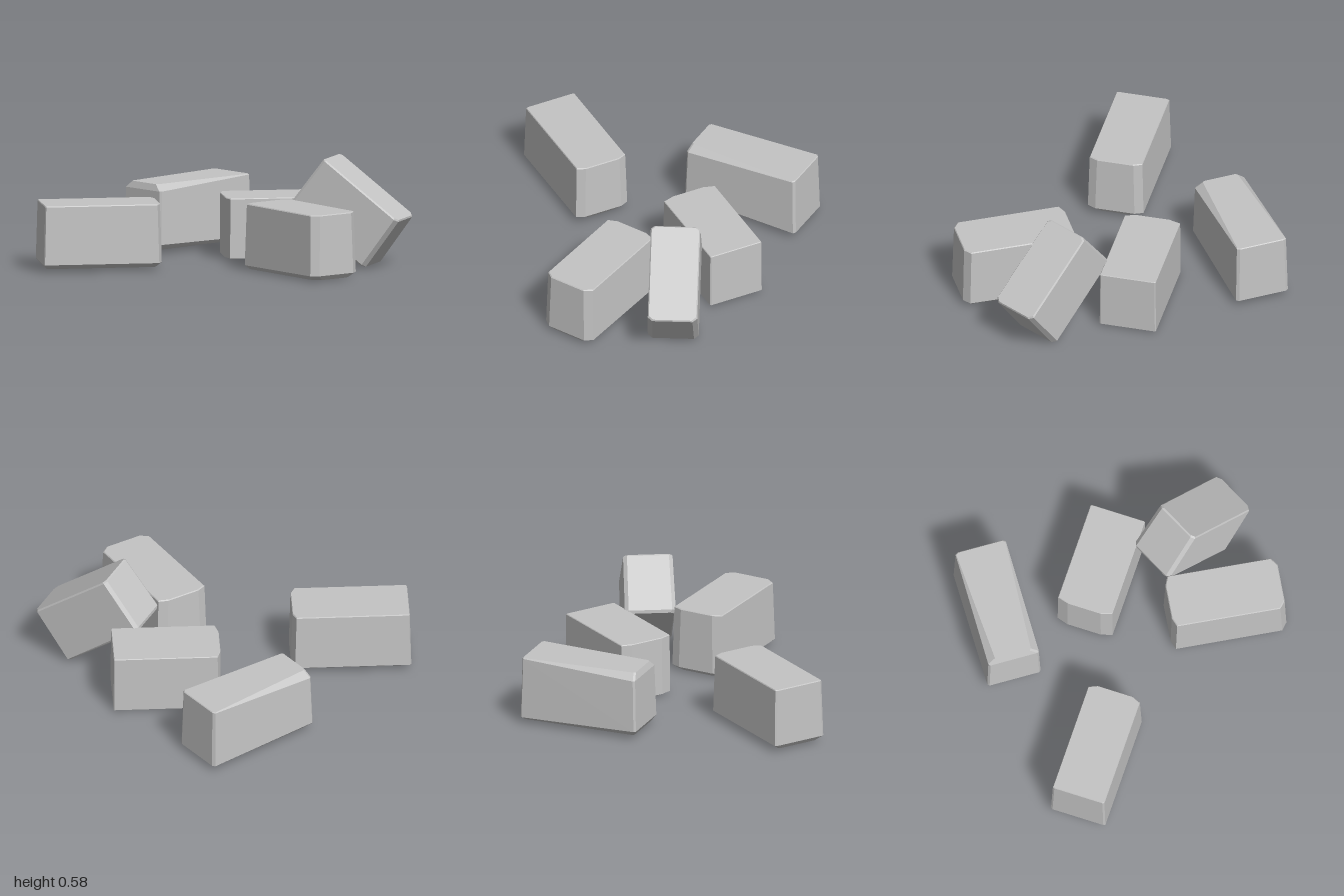
import * as THREE from 'three';
import { ConvexGeometry } from 'three/addons/geometries/ConvexGeometry.js';

// End style: cx/cz cut the vertical corners, topIn/topDrop and footIn/footDrop bevel the long edges
const end = (cx, cz, topIn, topDrop, footIn, footDrop) => ({ cx, cz, topIn, topDrop, footIn, footDrop });

// Roughly cut brick along x, standing on y = 0, slightly narrower at the top
function brickGeometry(length, height, width, back, front, lean = 0.008) {
  const points = [];
  for (const sx of [-1, 1]) {
    const e = sx < 0 ? back : front;
    const rings = [
      [0, e.footIn],
      [e.footDrop, 0],
      [height - e.topDrop, lean],
      [height, lean + e.topIn],
    ];
    for (const sz of [-1, 1]) {
      for (const [y, inset] of rings) {
        const x = length / 2 - Math.min(inset, 0.02);
        const z = width / 2 - inset;
        points.push(new THREE.Vector3(sx * x, y, sz * (z - e.cz)));
        points.push(new THREE.Vector3(sx * (x - e.cx), y, sz * z));
      }
    }
  }
  return new ConvexGeometry(points);
}

export function createModel() {
  const group = new THREE.Group();
  const stone = new THREE.MeshStandardMaterial({ color: 0xc4c4c4 });
  stone.name = 'grey stone';

  const add = (name, geometry, x, y, z, turn = 0) => {
    const mesh = new THREE.Mesh(geometry, stone);
    mesh.name = name;
    mesh.position.set(x, y, z);
    mesh.rotation.y = turn;
    group.add(mesh);
    return mesh;
  };

  // Lone brick on the right
  add('loneBrick', brickGeometry(0.64, 0.34, 0.305,
    end(0.005, 0.01, 0.003, 0.005, 0.035, 0.025),
    end(0.02, 0.045, 0.003, 0.005, 0.035, 0.025)), -0.68, 0.015, 0.17);

  // Turned brick at the back, its top bevel widening towards one end
  add('backBrick', brickGeometry(0.67, 0.35, 0.295,
    end(0.01, 0.01, 0.04, 0.035, 0.03, 0.03),
    end(0.01, 0.015, 0.004, 0.004, 0.02, 0.015)), -0.09, 0.02, -0.585, 0.6);

  // Straight brick in the middle
  add('middleBrick', brickGeometry(0.575, 0.333, 0.308,
    end(0.018, 0.06, 0.003, 0.004, 0.07, 0.012),
    end(0.004, 0.005, 0.003, 0.004, 0.07, 0.012), 0.002), 0.317, 0, -0.137);

  // Turned brick at the front
  add('frontBrick', brickGeometry(0.625, 0.35, 0.305,
    end(0.02, 0.05, 0.004, 0.005, 0.02, 0.02),
    end(0.03, 0.04, 0.004, 0.005, 0.03, 0.025)), 0.348, 0.005, 0.547, -1.07);

  // Tilted brick leaning on the others
  const tilted = brickGeometry(0.535, 0.325, 0.272,
    end(0.015, 0.02, 0.006, 0.008, 0.01, 0.015),
    end(0.02, 0.025, 0.006, 0.008, 0.01, 0.01), 0.004);
  tilted.translate(0, -0.1625, 0);
  const along = new THREE.Vector3(0.7, -0.6, 0.39).normalize();
  const across = new THREE.Vector3(-0.47, 0, 0.88);
  across.addScaledVector(along, -across.dot(along)).normalize();
  const up = new THREE.Vector3().crossVectors(across, along);
  const leaning = add('leaningBrick', tilted, 0.665, 0.293, 0.262);
  leaning.quaternion.setFromRotationMatrix(new THREE.Matrix4().makeBasis(along, up, across));

  return group;
}
